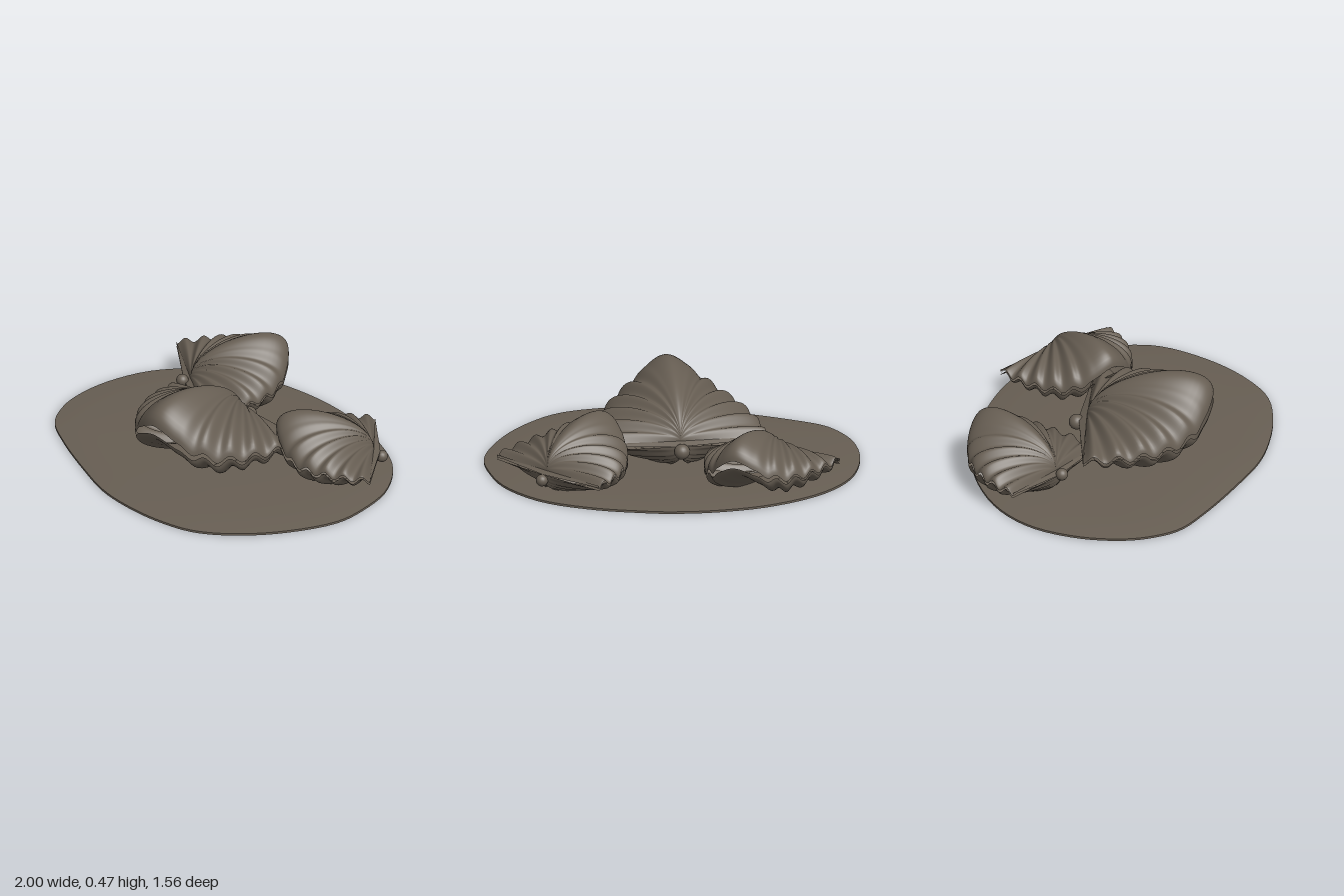
import * as THREE from 'three';
import { toCreasedNormals } from 'three/addons/utils/BufferGeometryUtils.js';

const stone = new THREE.MeshStandardMaterial({ color: 0x675e53, side: THREE.DoubleSide });
stone.name = 'stone brown';

// Surface from a rule f(u, v) -> [x, y, z], with u and v in 0..1
function grid(nu, nv, f, flip = false) {
  const pos = [], idx = [];
  for (let j = 0; j <= nv; j++)
    for (let i = 0; i <= nu; i++) pos.push(...f(i / nu, j / nv));
  for (let j = 0; j < nv; j++)
    for (let i = 0; i < nu; i++) {
      const a = j * (nu + 1) + i, b = a + 1, c = a + nu + 1, d = c + 1;
      if (flip) idx.push(a, c, b, b, c, d);
      else idx.push(a, b, c, b, d, c);
    }
  const g = new THREE.BufferGeometry();
  g.setAttribute('position', new THREE.Float32BufferAttribute(pos, 3));
  g.setIndex(idx);
  g.computeVertexNormals();
  return g;
}

function add(parent, name, geometry) {
  const mesh = new THREE.Mesh(geometry, stone);
  mesh.name = name;
  parent.add(mesh);
  return mesh;
}

const HALF = 0.465, LENGTH = 0.665, HINGE_Y = 0.18;

// One ribbed valve: radial fan from the beak, with a central fold and a dome.
// skew moves the deepest point toward the hinge, groove flattens the middle.
function valve({ dome, fold, beakZ, y0, power, skew, groove, flip }) {
  return grid(200, 24, (u, v) => {
    const t = u * Math.PI, r = (1 - Math.cos(v * Math.PI)) / 2;
    const off = Math.abs(t - Math.PI / 2);
    const centre = Math.exp(-((off / 0.44) ** 2));
    const side = THREE.MathUtils.smoothstep(off, 0.25, 0.6);
    const ribs = 0.022 * r * side * Math.cos(18 * off + 5 * off * off);
    const c = Math.cos(t);
    const x = HALF * Math.sign(c) * Math.abs(c) ** 1.06 * r;
    const z = LENGTH * Math.sin(t) * r + beakZ * (1 - r);
    const y = y0 + fold * centre * r ** 1.35 + ribs
      + dome * (1 - groove * centre) * Math.sin(v ** skew * Math.PI)
      * Math.max(Math.sin(t), 0) ** power;
    return [x, y, z];
  }, flip);
}

const upperValve = valve({
  dome: 0.208, fold: 0.165, beakZ: -0.01, y0: HINGE_Y,
  power: 0.8, skew: 0.95, groove: 0, flip: false,
});
const lowerValve = valve({
  dome: -0.178, fold: 0.13, beakZ: -0.055, y0: HINGE_Y - 0.015,
  power: 0.6, skew: 0.82, groove: 0.4, flip: true,
});

// Flat triangular area between the two beaks along the hinge
const hingeArea = grid(2, 1, (u, v) => {
  const x = (u * 2 - 1) * HALF;
  const mid = u === 0.5 ? 1 : 0;
  return [x, HINGE_Y - 0.015 * (1 - v), mid * (v ? -0.01 : -0.055)];
});

function makeShell(name, x, z, yaw, scale, roll, knobY) {
  const shell = new THREE.Group();
  shell.name = name;
  add(shell, 'upperValve', upperValve);
  add(shell, 'lowerValve', lowerValve);
  add(shell, 'hingeArea', hingeArea);
  add(shell, 'stalkKnob', new THREE.SphereGeometry(0.042, 20, 14))
    .position.set(0, knobY, -0.065);
  shell.rotation.order = 'YXZ';
  shell.rotation.set(0, yaw, roll);
  shell.scale.setScalar(scale);
  shell.position.set(x, 0, z);
  return shell;
}

// Low slab with an irregular rounded outline
function makeSlab() {
  const outline = [
    [1, 0], [0.97, -0.2], [0.88, -0.42], [0.68, -0.62], [0.4, -0.73], [0.15, -0.77],
    [0, -0.78], [-0.25, -0.755], [-0.53, -0.67], [-0.8, -0.49], [-0.95, -0.27], [-1, 0],
    [-0.975, 0.22], [-0.92, 0.36], [-0.81, 0.5], [-0.6, 0.6], [-0.3, 0.7], [-0.05, 0.765],
    [0.15, 0.775], [0.4, 0.745], [0.62, 0.665], [0.79, 0.5], [0.92, 0.28],
  ].map(([x, z]) => new THREE.Vector3(x, 0, z));
  const curve = new THREE.CatmullRomCurve3(outline, true);
  // Radial scale and height of each ring, from the underside to the top
  const rings = [[0, 0], [1, 0], [1, 0.012], [0.93, 0.02], [0.8, 0.029], [0.4, 0.035], [0, 0.037]];
  const n = rings.length - 1;
  return toCreasedNormals(grid(96, n, (u, v) => {
    const p = curve.getPoint(u % 1), [s, y] = rings[Math.round(v * n)];
    return [p.x * s, y, p.z * s];
  }), 0.7);
}

export function createModel() {
  const model = new THREE.Group();
  model.name = 'shellsOnSlab';
  add(model, 'slab', makeSlab());
  model.add(
    makeShell('frontShell', -0.047, -0.16, 0.15, 1, 0, 0.14),
    makeShell('backRightShell', -0.578, -0.238, Math.atan2(0.42, -0.905), 0.785, 0.08, 0.17),
    makeShell('backLeftShell', 0.652, -0.505, Math.atan2(-0.64, 0.767), 0.77, 0, 0.125),
  );
  return model;
}
